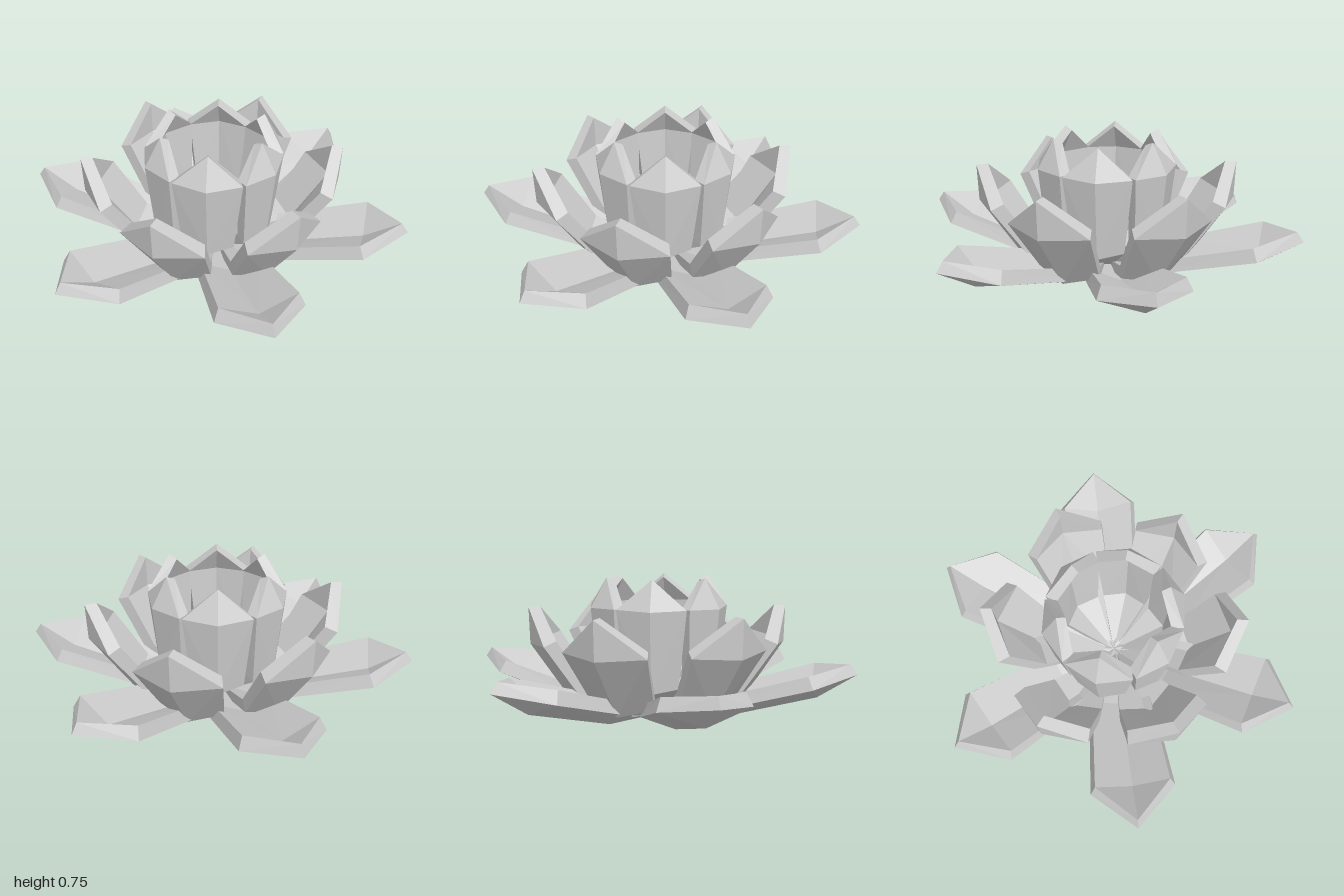
import * as THREE from 'three';

const material = new THREE.MeshStandardMaterial({ color: 0xcccccc, flatShading: true });

// Each station: keel [r, y], rim [r, y, half width], inward thickness [dr, dy].
const RINGS = [
  { name: 'outerPetal', angle: 9.5, stations: [
    { keel: [0, 0.025], rim: [0, 0.025, 0], thick: [0, 0.05] },
    { keel: [0.34, 0.03], rim: [0.33, 0.1, 0.175], thick: [-0.01, 0.06] },
    { keel: [0.82, 0.165], rim: [0.815, 0.245, 0.215], thick: [-0.025, 0.06] },
    { keel: [1.01, 0.29], rim: [1.01, 0.29, 0], thick: [-0.035, 0.05] },
  ] },
  { name: 'middlePetal', angle: -11, stations: [
    { keel: [0, 0.015], rim: [0, 0.015, 0], thick: [0, 0.05] },
    { keel: [0.46, 0.11], rim: [0.4, 0.15, 0.17], thick: [-0.045, 0.045] },
    { keel: [0.665, 0.41], rim: [0.58, 0.425, 0.222], thick: [-0.06, 0.025] },
    { keel: [0.67, 0.6], rim: [0.67, 0.6, 0], thick: [-0.06, 0.003] },
  ] },
  { name: 'innerPetal', angle: 30, stations: [
    { keel: [0, 0], rim: [0, 0, 0], thick: [0, 0.05] },
    { keel: [0.33, 0.2], rim: [0.28, 0.22, 0.13], thick: [-0.05, 0.025] },
    { keel: [0.37, 0.605], rim: [0.31, 0.61, 0.17], thick: [-0.06, 0] },
    { keel: [0.285, 0.755], rim: [0.285, 0.755, 0], thick: [-0.045, -0.02] },
  ] },
];

// Six-cornered cross-section: keel, rim, inner rim, inner crease, and mirrored rims.
function crossSection({ keel, rim, thick }) {
  const [r, y, w] = rim;
  const innerW = w * 0.88;
  const ir = r + thick[0], iy = y + thick[1];
  return [
    [keel[0], keel[1], 0], [r, y, w], [ir, iy, innerW],
    [keel[0] + thick[0], keel[1] + thick[1], 0], [ir, iy, -innerW], [r, y, -w],
  ];
}

// Faceted petal lofted through its cross-sections, pointing along +x.
function petalGeometry(stations) {
  const rings = stations.map(crossSection);
  const positions = [];
  for (let i = 0; i < rings.length - 1; i++) {
    for (let j = 0; j < 6; j++) {
      const k = (j + 1) % 6;
      const a = rings[i][j], b = rings[i][k], c = rings[i + 1][k], d = rings[i + 1][j];
      // The diagonal is mirrored across the keel.
      const corners = j < 3 ? [a, d, c, a, c, b] : [a, d, b, d, c, b];
      positions.push(...corners.flat());
    }
  }
  const geometry = new THREE.BufferGeometry();
  geometry.setAttribute('position', new THREE.Float32BufferAttribute(positions, 3));
  geometry.computeVertexNormals();
  return geometry;
}

export function createModel() {
  const flower = new THREE.Group();
  flower.name = 'lotusFlower';
  for (const { name, angle, stations } of RINGS) {
    const ring = new THREE.Group();
    ring.name = name + 'Ring';
    const geometry = petalGeometry(stations);
    // Six petals per ring
    for (let i = 0; i < 6; i++) {
      const petal = new THREE.Mesh(geometry, material);
      petal.name = name + (i + 1);
      petal.rotation.y = -THREE.MathUtils.degToRad(angle + i * 60);
      ring.add(petal);
    }
    flower.add(ring);
  }
  return flower;
}
